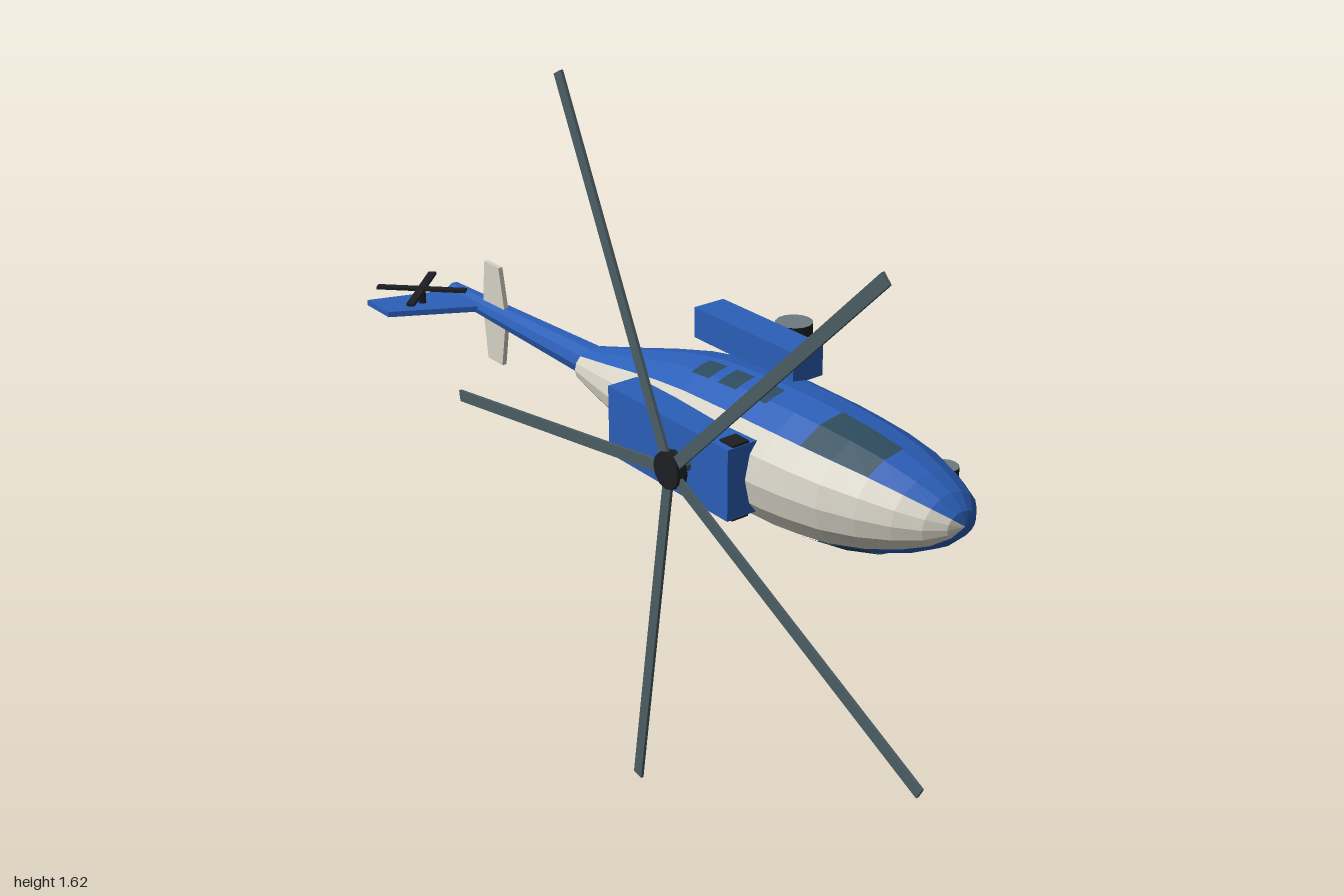
import * as THREE from 'three';

const mat = (color, side = THREE.FrontSide) => new THREE.MeshStandardMaterial({ color, flatShading: true, side });
const CY = 0.85; // height of the long axis; the aircraft lies on its side, rotor towards +z
const D = Math.PI / 180;

// cross-sections: x, half width in y, upper z, lower z
const HULL = [
  [-0.32, 0.045, 0.08, -0.033], [-0.2, 0.076, 0.1, -0.08], [-0.1, 0.102, 0.115, -0.125],
  [0, 0.125, 0.127, -0.162], [0.1, 0.14, 0.135, -0.19], [0.25, 0.15, 0.139, -0.198],
  [0.4, 0.148, 0.13, -0.198], [0.47, 0.142, 0.12, -0.198], [0.55, 0.132, 0.103, -0.196],
  [0.63, 0.113, 0.073, -0.19], [0.7, 0.086, 0.037, -0.174], [0.75, 0.059, 0, -0.153],
  [0.78, 0.03, -0.04, -0.12], [0.79, 0, -0.08, -0.08],
];
const BOOM = [[-0.94, 0.022, 0.047, 0], [-0.32, 0.04, 0.06, -0.03]];

// interpolated cross-section at a given x
function sectionAt(x) {
  const i = Math.max(1, HULL.findIndex((s) => s[0] >= x));
  const t = (x - HULL[i - 1][0]) / (HULL[i][0] - HULL[i - 1][0]);
  return HULL[i].map((v, k) => THREE.MathUtils.lerp(HULL[i - 1][k], v, t));
}

// skin over cross-sections between two angles (degrees from +z towards +y)
function loft(sections, a0, a1, n, offset = 0, cap = false) {
  const pos = [];
  const point = ([x, ry, top, low], j) => {
    const a = (a0 + ((a1 - a0) * j) / n) * D;
    return [x, CY + (ry + offset) * Math.sin(a), (top + low) / 2 + ((top - low) / 2 + offset) * Math.cos(a)];
  };
  for (let j = 0; j < n; j++) {
    for (let i = 0; i < sections.length - 1; i++) {
      const a = point(sections[i], j), b = point(sections[i + 1], j);
      const c = point(sections[i + 1], j + 1), d = point(sections[i], j + 1);
      pos.push(...a, ...b, ...d);
      if (sections[i + 1][1] > 0) pos.push(...b, ...c, ...d);
    }
    if (cap) {
      const s = sections[0];
      pos.push(s[0], CY, (s[2] + s[3]) / 2, ...point(s, j), ...point(s, j + 1));
    }
  }
  const g = new THREE.BufferGeometry();
  g.setAttribute('position', new THREE.Float32BufferAttribute(pos, 3));
  g.computeVertexNormals();
  return g;
}

// flat plate from an outline, centred on its thickness
function plate(points, depth) {
  const shape = new THREE.Shape(points.map(([x, y]) => new THREE.Vector2(x, y)));
  return new THREE.ExtrudeGeometry(shape, { depth, bevelEnabled: false }).translate(0, 0, -depth / 2);
}

export function createModel() {
  const root = new THREE.Group();
  root.name = 'helicopter';
  const blue = mat(0x2b5fb8), white = mat(0xd6d2c6), black = mat(0x1c1e22);
  const steel = mat(0x4b5d63), grey = mat(0x6c7c82), glass = mat(0x2c4a5c, THREE.DoubleSide);

  const add = (name, geometry, material, x = 0, y = 0, z = 0, parent = root) => {
    const m = new THREE.Mesh(geometry, material);
    m.name = name;
    m.position.set(x, y, z);
    parent.add(m);
    return m;
  };
  const box = (name, material, x0, x1, y0, y1, z0, z1) =>
    add(name, new THREE.BoxGeometry(x1 - x0, y1 - y0, z1 - z0), material, (x0 + x1) / 2, (y0 + y1) / 2, (z0 + z1) / 2);

  // fuselage: white roof stripe, blue body
  add('roofStripe', loft(HULL, -45, 45, 4, 0, true), white);
  add('fuselage', loft(HULL, 45, 315, 12, 0, true), blue);
  add('tailBoom', loft(BOOM, 0, 360, 10, 0, true), blue);

  // cockpit and cabin windows on both sides
  for (const s of [1, -1]) {
    const pane = (name, xs, a, b, n) =>
      add(name, loft(xs.map(sectionAt), s > 0 ? a : -b, s > 0 ? b : -a, n, 0.003), glass);
    pane('cockpitWindow', [0.47, 0.55, 0.63], 45, 90, 2);
    for (const x of [0.08, 0.17, 0.265]) pane('cabinWindow', [x, x + 0.06], 63, 82, 2);
  }

  // engine housing with side intakes
  box('engineHousing', blue, -0.05, 0.365, CY - 0.082, CY + 0.082, 0.1, 0.178);
  for (const s of [1, -1]) {
    const y = CY + s * 0.07;
    box('engineIntake', black, 0.32, 0.363, y - 0.017, y + 0.017, 0.12, 0.163);
  }

  // wheel with grey hub faces, and its leg
  const wheel = (name, x, y, z, r, legTop) => {
    add(name, new THREE.CylinderGeometry(r, r, 0.026, 14), [black, grey, grey], x, y, z);
    const leg = new THREE.CylinderGeometry(0.01, 0.01, legTop - z, 8).rotateX(Math.PI / 2);
    add(name + 'Leg', leg, grey, x, y, (z + legTop) / 2);
  };
  wheel('noseWheel', 0.588, CY, -0.222, 0.032, -0.17);
  for (const s of [1, -1]) {
    const y = CY + s * 0.172;
    box('sponson', blue, -0.05, 0.288, y - 0.036, y + 0.036, -0.145, -0.062);
    wheel('mainWheel', 0.12, CY + s * 0.178, -0.21, 0.042, -0.13);
  }

  // main rotor
  const rotor = new THREE.Group();
  rotor.name = 'mainRotor';
  rotor.position.set(0.23, CY, 0.222);
  root.add(rotor);
  add('mast', new THREE.CylinderGeometry(0.015, 0.015, 0.08, 10).rotateX(Math.PI / 2), steel, 0, 0, -0.035, rotor);
  add('rotorHub', new THREE.CylinderGeometry(0.042, 0.042, 0.026, 12).rotateX(Math.PI / 2), black, 0, 0, 0, rotor);
  for (let i = 0; i < 5; i++) {
    const arm = new THREE.Group();
    arm.name = 'rotorBladeArm';
    arm.rotation.z = (44.8 + i * 72) * D;
    rotor.add(arm);
    const blade = add('rotorBlade', new THREE.BoxGeometry(0.837, 0.028, 0.007), steel, 0.4385, 0, -0.003, arm);
    blade.rotation.y = 0.013;
  }

  // tail fin, stabilizer and tail rotor
  const fin = plate([[-0.93, 0.03], [-0.78, 0.03], [-0.895, 0.245], [-1, 0.245]], 0.014).rotateX(Math.PI / 2);
  add('tailFin', fin, blue, 0, CY, 0);
  const stab = [[-0.773, -0.13], [-0.708, -0.13], [-0.684, 0], [-0.708, 0.13], [-0.773, 0.13], [-0.787, 0]];
  add('stabilizer', plate(stab, 0.012), white, 0, CY, 0.028);
  add('tailRotorShaft', new THREE.CylinderGeometry(0.01, 0.01, 0.05, 8), black, -0.9, CY + 0.025, 0.143);
  for (const s of [1, -1]) {
    const blade = add('tailRotorBlade', new THREE.BoxGeometry(0.228, 0.007, 0.02), black, -0.9, CY + 0.044, 0.143);
    blade.rotation.y = s * 45 * D;
  }
  return root;
}
